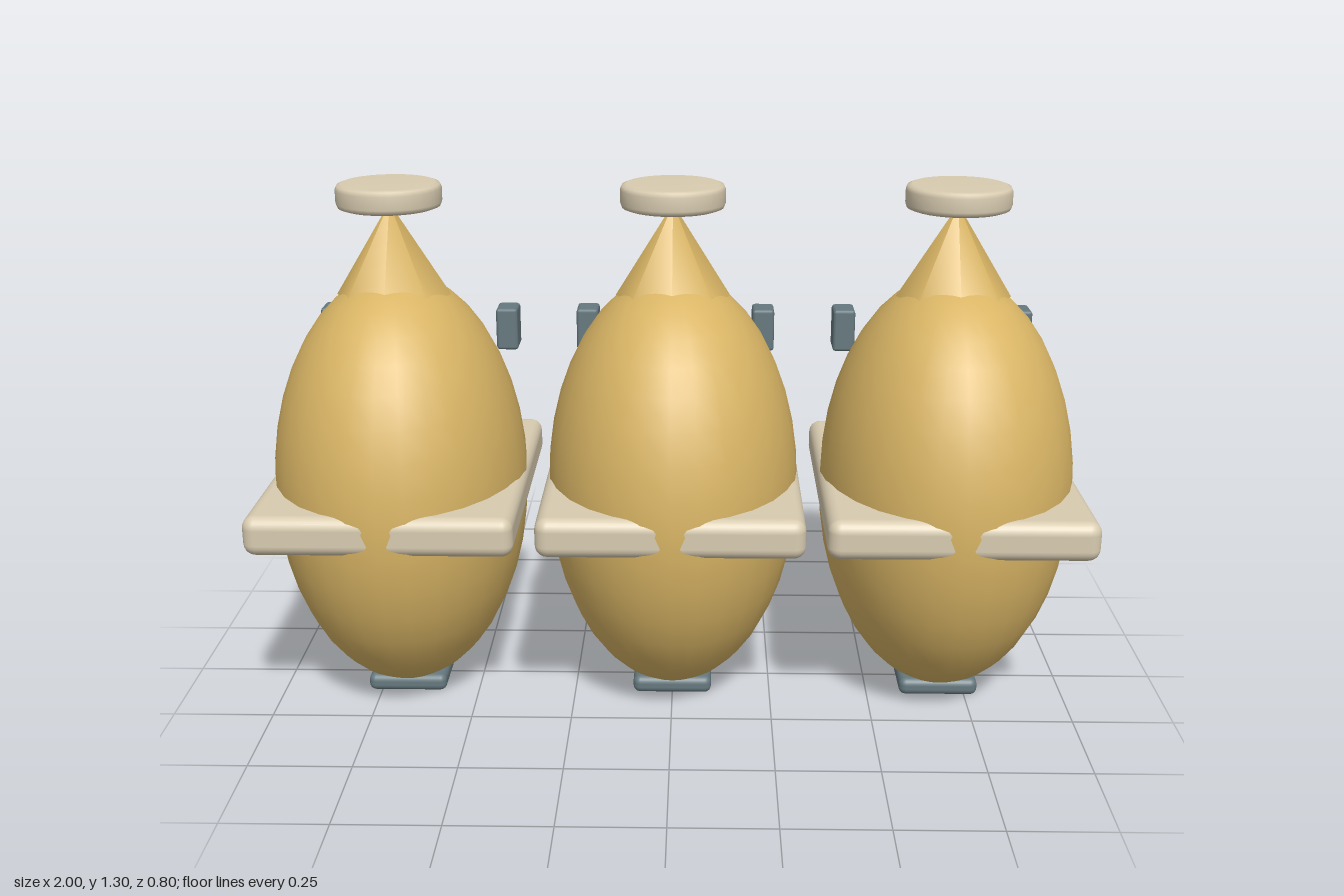
import * as THREE from 'three';
import { RoundedBoxGeometry } from 'three/addons/geometries/RoundedBoxGeometry.js';

const mat = (name, color) => {
  const m = new THREE.MeshStandardMaterial({ color });
  m.name = name;
  return m;
};

export function createModel() {
  const gold = mat('gold', 0xd9b565);
  const cream = mat('cream', 0xd8cbb0);
  const slate = mat('slate', 0x66797f);

  const add = (parent, name, geometry, material, x, y, z) => {
    const mesh = new THREE.Mesh(geometry, material);
    mesh.name = name;
    mesh.position.set(x, y, z);
    parent.add(mesh);
    return mesh;
  };

  // Egg body, stretched in height and depth
  const body = new THREE.SphereGeometry(1, 28, 20).scale(0.313, 0.53, 0.393);
  // Pointed neck, open below where it sinks into the body
  const neck = new THREE.ConeGeometry(0.14, 0.225, 8, 1, true);
  // Round cap with softened rims
  const cap = new THREE.LatheGeometry([
    [0, -0.03], [0.112, -0.03], [0.123, -0.026], [0.127, -0.016],
    [0.127, 0.016], [0.123, 0.026], [0.112, 0.03], [0, 0.03],
  ].map(([x, y]) => new THREE.Vector2(x, y)), 32);
  const plate = new RoundedBoxGeometry(0.634, 0.098, 0.78, 3, 0.03);
  const foot = new RoundedBoxGeometry(0.2, 0.045, 0.23, 3, 0.018);
  const peg = new RoundedBoxGeometry(0.058, 0.112, 0.082, 1, 0.008);

  const model = new THREE.Group();
  model.name = 'eggRow';
  ['rightUnit', 'middleUnit', 'leftUnit'].forEach((name, i) => {
    const unit = new THREE.Group();
    unit.name = name;
    unit.position.x = (i - 1) * 0.683;
    model.add(unit);

    add(unit, 'body', body, gold, 0, 0.547, 0.007);
    add(unit, 'neck', neck, gold, 0, 1.138, 0);
    add(unit, 'cap', cap, cream, 0, 1.27, 0);
    add(unit, 'waistPlate', plate, cream, 0, 0.536, 0.005);
    add(unit, 'foot', foot, slate, 0, 0.0225, 0.005);
    // Pair of pegs at the back
    for (const s of [-1, 1]) {
      add(unit, s > 0 ? 'leftPeg' : 'rightPeg', peg, slate, s * 0.234, 0.848, -0.363);
    }
  });
  return model;
}
